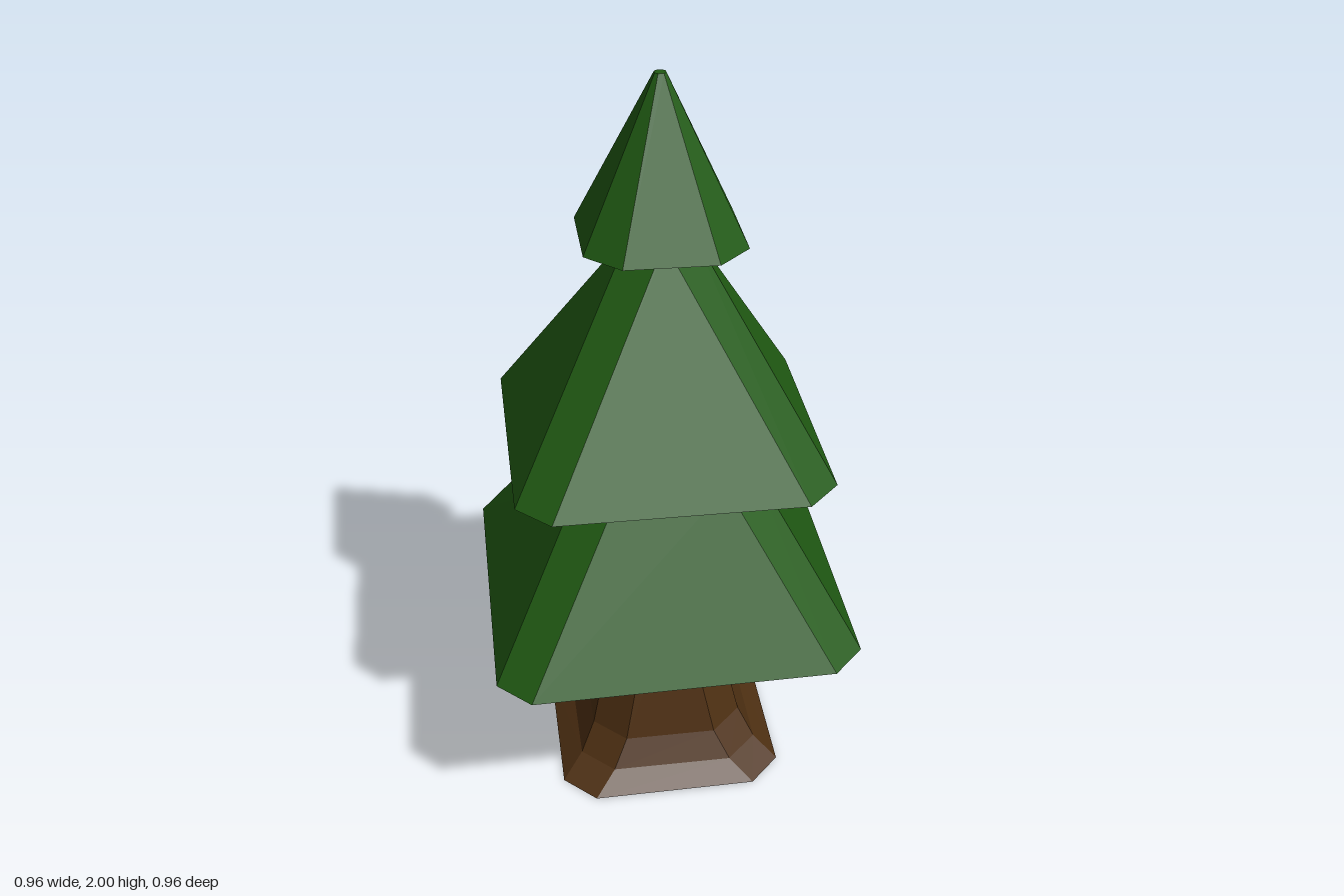
import * as THREE from 'three';

// Square ring with cut corners: half-width w, corner cut c, slight tilt along x and z
function ring({ y, w, c, tx = 0, tz = 0 }) {
  const f = w - c;
  return [[f, w], [w, f], [w, -f], [f, -w], [-f, -w], [-w, -f], [-w, f], [-f, w]]
    .map(([x, z]) => [x, y + tx * x + tz * z, z]);
}

// Skin a stack of rings from bottom to top, with optional end caps
function loft(name, material, sections, capBottom, capTop) {
  const rings = sections.map(ring);
  const n = 8, pos = [], index = [];
  rings.forEach(r => r.forEach(p => pos.push(...p)));
  for (let k = 0; k < rings.length - 1; k++) {
    for (let i = 0; i < n; i++) {
      const j = (i + 1) % n;
      const a = k * n + i, b = k * n + j;
      index.push(a, b, b + n, a, b + n, a + n);
    }
  }
  const last = (rings.length - 1) * n;
  for (let i = 1; i < n - 1; i++) {
    if (capBottom) index.push(0, i + 1, i);
    if (capTop) index.push(last, last + i, last + i + 1);
  }
  const indexed = new THREE.BufferGeometry();
  indexed.setAttribute('position', new THREE.Float32BufferAttribute(pos, 3));
  indexed.setIndex(index);
  const geometry = indexed.toNonIndexed();
  geometry.computeVertexNormals();
  const mesh = new THREE.Mesh(geometry, material);
  mesh.name = name;
  return mesh;
}

export function createModel() {
  const group = new THREE.Group();
  group.name = 'pineTree';
  const bark = new THREE.MeshStandardMaterial({ color: 0x4d2f12, flatShading: true });
  const needles = new THREE.MeshStandardMaterial({ color: 0x205a13, flatShading: true });

  // Trunk with flared foot
  group.add(loft('trunk', bark, [
    { y: 0.007, w: 0.308, c: 0.085, tx: 0.01, tz: -0.01 },
    { y: 0.05, w: 0.25, c: 0.085 },
    { y: 0.125, w: 0.21, c: 0.085 },
    { y: 0.54, w: 0.113, c: 0.075 },
  ], true, false));

  // Lower foliage, flat underneath
  group.add(loft('lowerFoliage', needles, [
    { y: 0.537, w: 0.48, c: 0.085, tx: 0.012, tz: -0.008 },
    { y: 0.973, w: 0.225, c: 0.085 },
  ], true, false));

  // Middle foliage, sloping underneath
  group.add(loft('middleFoliage', needles, [
    { y: 0.973, w: 0.225, c: 0.085 },
    { y: 1.022, w: 0.405, c: 0.085, tx: -0.004 },
    { y: 1.593, w: 0.078, c: 0.075 },
  ], false, false));

  // Top foliage, ending in a small blunt tip
  group.add(loft('topFoliage', needles, [
    { y: 1.592, w: 0.202, c: 0.085, tx: -0.01, tz: 0.01 },
    { y: 2, w: 0.014, c: 0.007 },
  ], true, true));

  return group;
}
